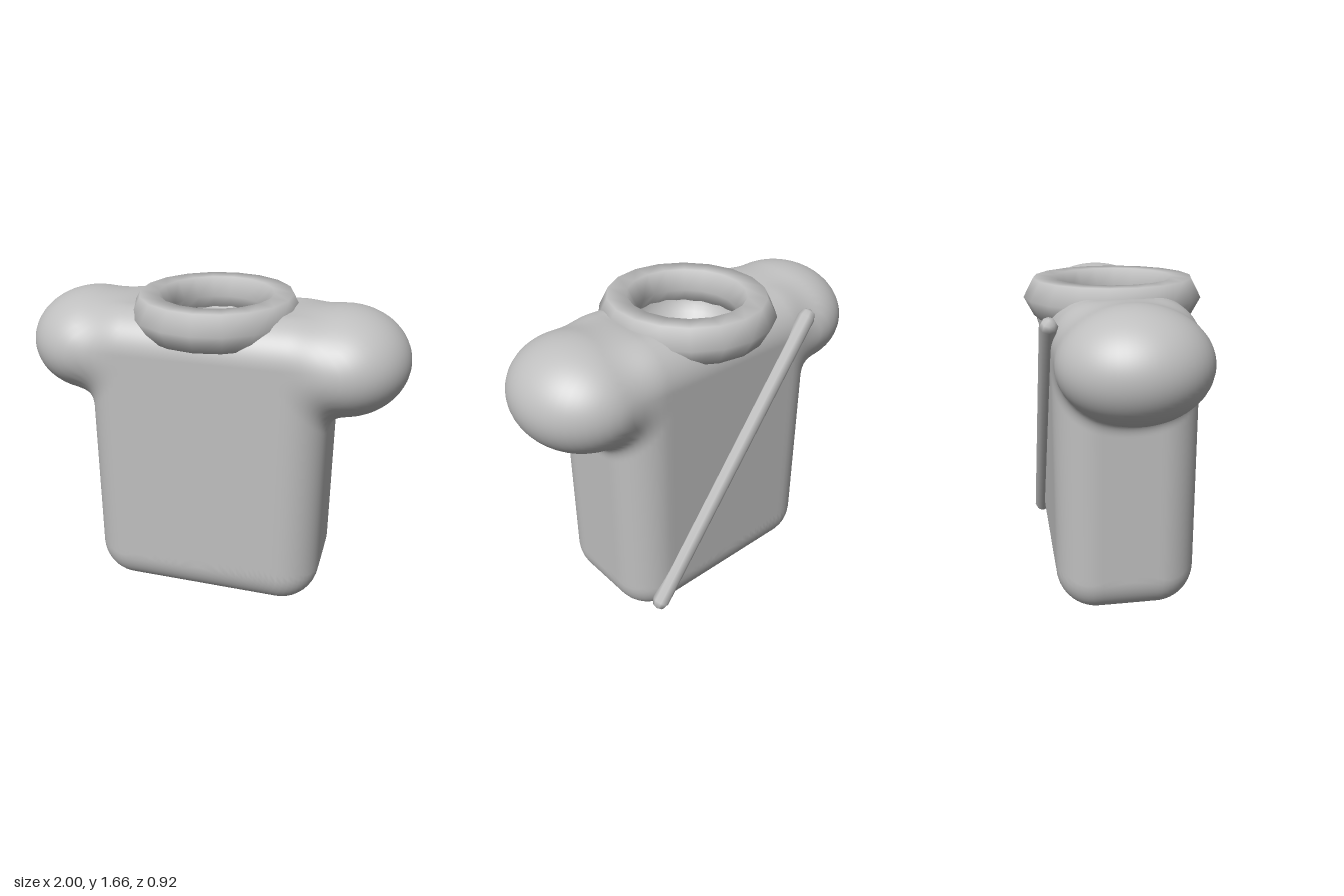
import * as THREE from 'three';

const V = (x, y, z) => new THREE.Vector3(x, y, z);

// Signed distance to a rounded box
function roundedBox(p, center, half, r) {
  const q = [Math.abs(p.x - center.x) - half.x + r, Math.abs(p.y - center.y) - half.y + r, Math.abs(p.z - center.z) - half.z + r];
  return Math.hypot(...q.map((v) => Math.max(v, 0))) + Math.min(Math.max(...q), 0) - r;
}

// Approximate signed distance to an ellipsoid
function ellipsoid(p, c, r) {
  const x = p.x - c.x, y = p.y - c.y, z = p.z - c.z;
  const k0 = Math.hypot(x / r.x, y / r.y, z / r.z);
  const k1 = Math.hypot(x / r.x ** 2, y / r.y ** 2, z / r.z ** 2);
  return k1 < 1e-6 ? -r.y : k0 * (k0 - 1) / k1;
}

function smoothMin(a, b, k) {
  const h = Math.max(k - Math.abs(a - b), 0) / k;
  return Math.min(a, b) - h * h * k / 4;
}

// Trunk and both shoulders melted together
const trunkCenter = V(0, 0.805, 0), trunkHalf = V(0.63, 0.805, 0.363);
const shoulderCenter = V(0.665, 1.363, 0), shoulderRadii = V(0.335, 0.275, 0.366);
function bodyDistance(p) {
  const mirrored = V(Math.abs(p.x), p.y, p.z);
  return smoothMin(roundedBox(p, trunkCenter, trunkHalf, 0.21),
    ellipsoid(mirrored, shoulderCenter, shoulderRadii), 0.09);
}

// Push a sphere's vertices along rays until they reach the melted surface
function bodyGeometry() {
  const core = V(0, 1.2, 0), neckAngle = 0.64;
  const geo = new THREE.SphereGeometry(1, 144, 150, 0, Math.PI * 2, neckAngle, Math.PI - neckAngle);
  const pos = geo.attributes.position, nor = geo.attributes.normal;
  const e = 0.002;
  for (let i = 0; i < pos.count; i++) {
    const dir = V().fromBufferAttribute(pos, i).normalize();
    let near = 0, far = 2;
    for (let s = 0; s < 26; s++) {
      const mid = (near + far) / 2;
      if (bodyDistance(core.clone().addScaledVector(dir, mid)) < 0) near = mid; else far = mid;
    }
    const p = core.clone().addScaledVector(dir, near);
    const slope = (d) => bodyDistance(p.clone().add(d)) - bodyDistance(p.clone().sub(d));
    const n = V(slope(V(e, 0, 0)), slope(V(0, e, 0)), slope(V(0, 0, e))).normalize();
    pos.setXYZ(i, p.x, p.y, p.z);
    nor.setXYZ(i, n.x, n.y, n.z);
  }
  return geo;
}

export function createModel() {
  const group = new THREE.Group();
  const grey = new THREE.MeshStandardMaterial({ color: 0xbfbfbf });
  grey.name = 'plain grey';
  grey.side = THREE.DoubleSide;

  const add = (name, geo) => {
    const mesh = new THREE.Mesh(geo, grey);
    mesh.name = name;
    group.add(mesh);
    return mesh;
  };

  add('torsoAndShoulders', bodyGeometry());

  // Hollow bowl inside the neck opening
  const bowl = [];
  for (let i = 0; i <= 12; i++) {
    const a = (i / 12) * Math.PI / 2;
    bowl.push(new THREE.Vector2(0.3 * Math.cos(a), 1.56 - 0.24 * Math.sin(a)));
  }
  add('neckBowl', new THREE.LatheGeometry(bowl, 36));

  // Coarse collar ring, slightly wider front to back
  const collar = new THREE.TorusGeometry(0.36, 0.102, 6, 18);
  collar.rotateX(Math.PI / 2).rotateY(Math.PI / 2).scale(0.955, 1.08, 1);
  add('collar', collar).position.y = 1.565;

  // Diagonal rod sunk into the back
  const low = V(0.51, 0.145, -0.372), high = V(-0.485, 1.51, -0.372);
  const axis = high.clone().sub(low);
  const rod = add('backRod', new THREE.CapsuleGeometry(0.045, axis.length(), 2, 8));
  rod.position.copy(low).add(high).multiplyScalar(0.5);
  rod.quaternion.setFromUnitVectors(V(0, 1, 0), axis.normalize());

  return group;
}
